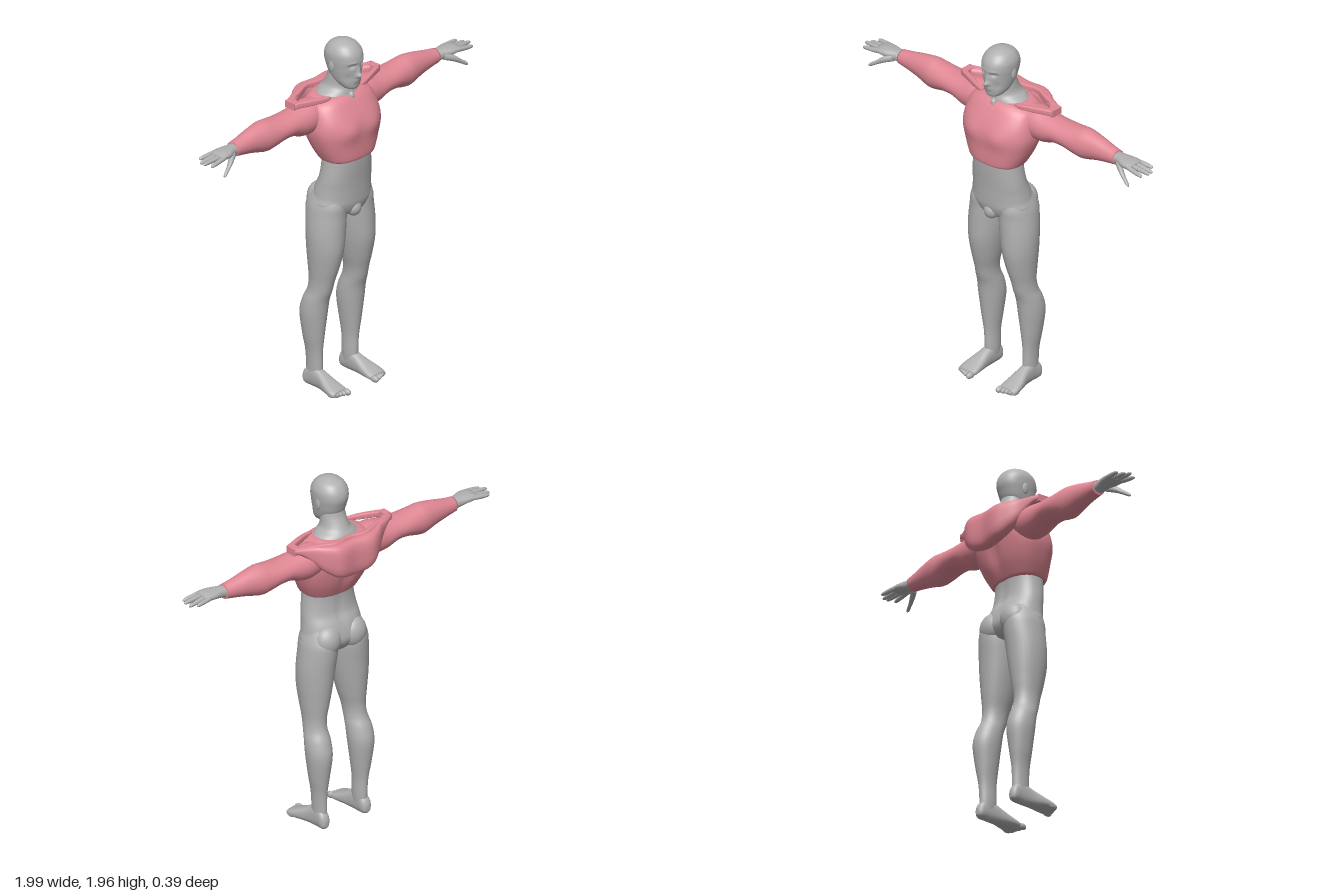
import * as THREE from 'three';

const skin = new THREE.MeshStandardMaterial({ color: 0xb0b0b0 });
skin.name = 'grey skin';
const cloth = new THREE.MeshStandardMaterial({ color: 0xe08894 });
cloth.name = 'pink cloth';

// Axis -> the two cross directions (u, v) in right-handed order
const CROSS = { x: ['y', 'z'], y: ['z', 'x'], z: ['x', 'y'] };

// Smooth closed loft. Each section: [position, uMin, uMax, vMin, vMax], ascending.
function loft(axis, sections, { n = 32, steps = 5, e = 2 } = {}) {
  const [u, v] = CROSS[axis], pos = [], idx = [], p = new THREE.Vector3();
  const at = i => sections[Math.min(sections.length - 1, Math.max(0, i))];
  const rings = (sections.length - 1) * steps + 1;
  const power = c => Math.sign(c) * Math.abs(c) ** (2 / e);
  const put = (a, b, c) => { p[axis] = a; p[u] = b; p[v] = c; pos.push(p.x, p.y, p.z); };
  for (let r = 0; r < rings; r++) {
    const k = Math.floor(r / steps), t = r / steps - k;
    const s = at(k).map((b, i) => {
      const a = at(k - 1)[i], c = at(k + 1)[i], d = at(k + 2)[i];
      return b + 0.5 * t * (c - a + t * (2 * a - 5 * b + 4 * c - d + t * (3 * (b - c) + d - a)));
    });
    for (let j = 0; j < n; j++) {
      const w = j / n * Math.PI * 2;
      put(s[0], (s[1] + s[2]) / 2 + power(Math.cos(w)) * (s[2] - s[1]) / 2,
        (s[3] + s[4]) / 2 + power(Math.sin(w)) * (s[4] - s[3]) / 2);
      if (r < rings - 1) {
        const a = r * n + j, b = r * n + (j + 1) % n;
        idx.push(a, b, b + n, a, b + n, a + n);
      }
    }
  }
  // End caps
  for (const [s, base, flip] of [[at(0), 0, true], [at(sections.length), (rings - 1) * n, false]]) {
    const c = pos.length / 3;
    put(s[0], (s[1] + s[2]) / 2, (s[3] + s[4]) / 2);
    for (let j = 0; j < n; j++) {
      const a = base + j, b = base + (j + 1) % n;
      idx.push(c, flip ? b : a, flip ? a : b);
    }
  }
  const g = new THREE.BufferGeometry();
  g.setAttribute('position', new THREE.Float32BufferAttribute(pos, 3));
  g.setIndex(idx);
  g.computeVertexNormals();
  return g;
}

// Loft up y, symmetric in x: [y, zBack, zFront, halfWidth]
const column = (sections, opt) => loft('y', sections.map(([y, b, f, w]) => [y, b, f, -w, w]), opt);

// Soft push of the surface around a point, on both sides of x = 0
function push(g, [cx, cy, cz], [rx, ry, rz], dz) {
  const a = g.attributes.position;
  for (let i = 0; i < a.count; i++) {
    const d = ((Math.abs(a.getX(i)) - cx) / rx) ** 2 + ((a.getY(i) - cy) / ry) ** 2 + ((a.getZ(i) - cz) / rz) ** 2;
    a.setZ(i, a.getZ(i) + dz * Math.exp(-d));
  }
  g.computeVertexNormals();
}

function ellipsoid(c, r) {
  return new THREE.SphereGeometry(1, 20, 14).scale(...r).translate(...c);
}

function mirrored(g) {
  const m = g.clone().scale(-1, 1, 1), i = m.index.array;
  for (let k = 0; k < i.length; k += 3) [i[k], i[k + 1]] = [i[k + 1], i[k]];
  m.computeVertexNormals();
  return m;
}

export function createModel() {
  const model = new THREE.Group();
  model.name = 'figure';
  const add = (name, g, mat) => {
    const m = new THREE.Mesh(g, mat);
    m.name = name;
    model.add(m);
  };
  const pair = (name, g, mat) => {
    add(name + 'Left', g, mat);
    add(name + 'Right', mirrored(g), mat);
  };

  // Head with pushed facial features
  const head = column([
    [1.697, 0.08, 0.122, 0.02], [1.71, 0.05, 0.137, 0.044], [1.74, 0, 0.143, 0.065],
    [1.78, -0.036, 0.148, 0.076], [1.82, -0.052, 0.15, 0.083], [1.86, -0.062, 0.154, 0.088],
    [1.9, -0.055, 0.146, 0.086], [1.935, -0.03, 0.12, 0.066], [1.954, 0.008, 0.085, 0.034],
    [1.96, 0.035, 0.055, 0.01]], { n: 96, steps: 7, e: 2.15 });
  push(head, [0, 1.782, 0.15], [0.013, 0.013, 0.04], 0.024);    // nose tip
  push(head, [0, 1.808, 0.15], [0.010, 0.025, 0.04], 0.012);    // nose bridge
  push(head, [0.035, 1.84, 0.14], [0.017, 0.011, 0.05], -0.013); // eye sockets
  push(head, [0.034, 1.857, 0.14], [0.022, 0.006, 0.05], 0.005); // brows
  push(head, [0, 1.757, 0.14], [0.022, 0.005, 0.05], 0.008);     // upper lip
  push(head, [0, 1.745, 0.14], [0.018, 0.005, 0.05], 0.007);     // lower lip
  push(head, [0.048, 1.775, 0.12], [0.018, 0.025, 0.05], -0.006); // cheeks
  add('head', head, skin);
  pair('eye', ellipsoid([0.035, 1.84, 0.121], [0.013, 0.007, 0.008]), skin);
  pair('ear', ellipsoid([0.084, 1.828, 0.038], [0.008, 0.032, 0.018]).rotateX(0), skin);
  add('neck', column([
    [1.56, -0.1, 0.1, 0.13], [1.64, -0.1, 0.098, 0.135], [1.67, -0.094, 0.094, 0.112],
    [1.7, -0.075, 0.088, 0.076], [1.76, -0.045, 0.085, 0.066], [1.81, -0.035, 0.07, 0.06]]), skin);
  add('collarNotch', ellipsoid([0, 1.65, 0.098], [0.016, 0.024, 0.018]), skin);

  // Waist and hips
  const hips = column([
    [0.985, -0.03, 0.1, 0.03], [1.0, -0.06, 0.128, 0.12], [1.05, -0.088, 0.146, 0.182],
    [1.1, -0.085, 0.15, 0.174], [1.15, -0.07, 0.152, 0.167], [1.2, -0.045, 0.155, 0.161],
    [1.26, -0.035, 0.16, 0.152], [1.32, -0.035, 0.163, 0.145], [1.37, -0.04, 0.16, 0.145]],
    { n: 48, e: 2.2 });
  push(hips, [0, 1.2, -0.05], [0.02, 0.12, 0.04], 0.01); // spine groove
  add('hips', hips, skin);
  add('groin', ellipsoid([0, 1.02, 0.118], [0.042, 0.045, 0.037]), skin);
  pair('buttock', ellipsoid([0.083, 1.065, -0.04], [0.078, 0.085, 0.066]), skin);

  // Legs
  pair('leg', loft('y', [
    [0.04, -0.085, 0.01, 0.106, 0.165], [0.1, -0.085, 0.015, 0.1, 0.165],
    [0.2, -0.088, 0.016, 0.098, 0.172], [0.3, -0.102, 0.026, 0.085, 0.19],
    [0.42, -0.115, 0.04, 0.07, 0.205], [0.5, -0.097, 0.052, 0.069, 0.202],
    [0.56, -0.07, 0.072, 0.073, 0.19], [0.62, -0.062, 0.087, 0.068, 0.188],
    [0.7, -0.07, 0.11, 0.048, 0.196], [0.8, -0.08, 0.13, 0.027, 0.206],
    [0.9, -0.088, 0.133, 0.012, 0.208], [1.0, -0.098, 0.132, 0.004, 0.198],
    [1.06, -0.095, 0.132, 0.012, 0.187], [1.13, -0.06, 0.11, 0.03, 0.16]]), skin);

  // Feet and toes
  pair('foot', loft('z', [
    [-0.102, 0.125, 0.148, 0.02, 0.055], [-0.085, 0.108, 0.165, 0.004, 0.09],
    [-0.04, 0.104, 0.166, 0, 0.122], [0.02, 0.1, 0.172, 0, 0.1],
    [0.08, 0.092, 0.19, 0, 0.07], [0.13, 0.088, 0.199, 0, 0.048],
    [0.16, 0.094, 0.192, 0.003, 0.036]], { e: 2.4 }), skin);
  for (let i = 0; i < 5; i++) {
    const r = i ? 0.0105 : 0.016;
    pair('toe' + (i + 1), ellipsoid([i ? 0.112 + i * 0.019 : 0.104, 0.018, 0.165 - i * 0.008],
      [r, i ? 0.015 : 0.018, 0.027]), skin);
  }

  // Hands: palm, four fingers, thumb
  pair('palm', loft('x', [
    [0.735, 1.54, 1.6, -0.058, 0.012], [0.78, 1.545, 1.603, -0.056, 0.018],
    [0.83, 1.555, 1.603, -0.064, 0.036], [0.87, 1.56, 1.6, -0.066, 0.04],
    [0.895, 1.568, 1.592, -0.06, 0.034]], { e: 2.3 }), skin);
  const fingers = [[0.962, -0.054, -0.066], [0.988, -0.026, -0.036], [0.997, 0.002, -0.003], [0.978, 0.028, 0.034]];
  fingers.forEach(([tip, z0, z1], i) => {
    const y = 1.58, drop = 0.008 + (i % 2) * 0.006, r = 0.0125;
    const cut = (t, s) => {
      const z = z0 + (z1 - z0) * t, h = y - drop * t;
      return [0.865 + (tip - 0.865) * t, h - r * s, h + r * s, z - r * s, z + r * s];
    };
    pair('finger' + (i + 1), loft('x', [cut(0, 1), cut(0.5, 1), cut(0.9, 0.75), cut(1, 0.2)], { n: 12 }), skin);
  });
  pair('thumb', loft('x', [
    [0.785, 1.545, 1.585, -0.01, 0.025], [0.83, 1.53, 1.568, 0.016, 0.05],
    [0.87, 1.51, 1.536, 0.038, 0.062], [0.9, 1.493, 1.515, 0.05, 0.069],
    [0.912, 1.493, 1.5, 0.058, 0.065]], { n: 14 }), skin);

  // Cropped top with chest shape
  const top = column([
    [1.315, -0.045, 0.168, 0.15], [1.33, -0.055, 0.178, 0.162], [1.4, -0.09, 0.182, 0.195],
    [1.48, -0.115, 0.184, 0.22], [1.55, -0.128, 0.17, 0.218], [1.62, -0.122, 0.132, 0.2],
    [1.65, -0.11, 0.108, 0.165], [1.662, -0.1, 0.092, 0.13]], { n: 64, e: 2.5 });
  push(top, [0.085, 1.49, 0.18], [0.07, 0.05, 0.06], 0.012); // pectorals
  push(top, [0, 1.45, -0.12], [0.03, 0.12, 0.05], 0.018);    // spine groove
  add('croppedTop', top, cloth);
  pair('sleeve', loft('x', [
    [0.13, 1.5, 1.652, -0.105, 0.06], [0.21, 1.475, 1.658, -0.113, 0.064],
    [0.28, 1.48, 1.645, -0.112, 0.062], [0.35, 1.505, 1.637, -0.108, 0.058],
    [0.42, 1.505, 1.637, -0.108, 0.055], [0.49, 1.487, 1.645, -0.105, 0.05],
    [0.54, 1.482, 1.65, -0.1, 0.045], [0.62, 1.503, 1.638, -0.085, 0.03],
    [0.7, 1.52, 1.62, -0.072, 0.02], [0.758, 1.53, 1.61, -0.064, 0.016]]), cloth);

  // Hood lying on the back: draped pouch with an upper fold
  const half = [
    [0, 1.47, 1.672, -0.185, -0.1], [0.1, 1.485, 1.674, -0.194, -0.1],
    [0.17, 1.53, 1.676, -0.16, -0.085], [0.22, 1.58, 1.678, -0.12, -0.065],
    [0.28, 1.635, 1.679, -0.088, -0.03], [0.32, 1.65, 1.68, -0.068, -0.015]];
  const both = h => [...h.slice(1).reverse().map(([x, ...r]) => [-x, ...r]), ...h];
  add('hood', loft('x', both(half), { e: 2.8 }), cloth);
  add('hoodRim', loft('x', both([
    [0, 1.64, 1.68, -0.128, -0.1], [0.1, 1.64, 1.682, -0.145, -0.112],
    [0.2, 1.645, 1.682, -0.105, -0.075], [0.315, 1.648, 1.682, -0.068, -0.045]]), { n: 24, e: 4 }), cloth);

  // Front edge of the hood opening and its shoulder ends
  pair('hoodFrontEdge', loft('x', [
    [0.115, 1.65, 1.67, 0.045, 0.065], [0.15, 1.65, 1.675, 0.04, 0.064],
    [0.22, 1.648, 1.68, 0.012, 0.042], [0.315, 1.648, 1.68, -0.025, 0.005]], { n: 24, e: 4 }), cloth);
  pair('hoodShoulderEnd', new THREE.BoxGeometry(0.04, 0.038, 0.066).translate(0.302, 1.662, -0.033), cloth);
  return model;
}
